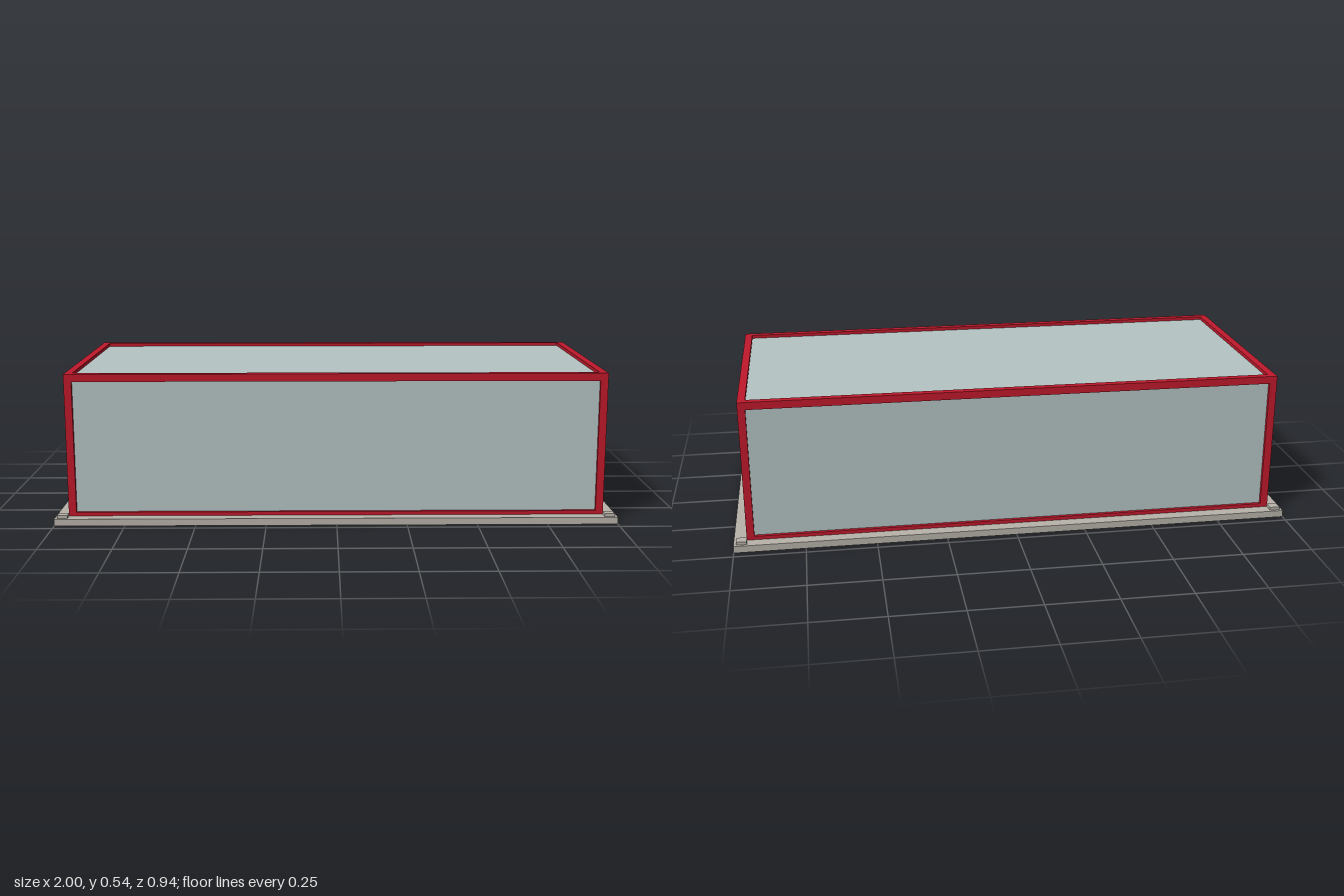
import * as THREE from 'three';

const material = (name, color) => {
  const m = new THREE.MeshStandardMaterial({ color });
  m.name = name;
  return m;
};

export function createModel() {
  const model = new THREE.Group();
  model.name = 'glassCase';
  const red = material('red frame', 0xc0192b);
  const glass = material('pale glass', 0xb5c4c4);
  const stone = material('grey base', 0xb8b3aa);

  const box = (name, mat, w, h, d, x, y, z) => {
    const mesh = new THREE.Mesh(new THREE.BoxGeometry(w, h, d), mat);
    mesh.name = name;
    mesh.position.set(x, y, z);
    model.add(mesh);
  };

  // Outer half sizes of the frame, bar thickness and heights
  const X = 0.955, Z = 0.425, T = 0.027;
  const top = 0.536, bottom = 0.011, baseTop = 0.025;
  const midY = (top + bottom) / 2, height = top - bottom;
  const cx = X - T / 2, cz = Z - T / 2;

  // Base slab
  box('base', stone, 2, baseTop, 0.94, 0, baseTop / 2, 0);

  // Posts and the small pads outside them
  for (const sx of [-1, 1]) for (const sz of [-1, 1]) {
    box('cornerPost', red, T, height, T, sx * cx, midY, sz * cz);
    box('cornerPad', stone, 0.036, 0.014, 0.036, sx * 0.972, 0.029, sz * 0.442);
  }

  // Top and bottom rails between the posts
  for (const y of [bottom + T / 2, top - T / 2]) for (const s of [-1, 1]) {
    box('longRail', red, 2 * (X - T), T, T, 0, y, s * cz);
    box('shortRail', red, T, T, 2 * (Z - T), s * cx, y, 0);
  }

  // Glazed body set back inside the frame
  const R = 0.012;
  const bodyTop = top - R;
  box('glassBody', glass, 2 * (X - R), bodyTop - 0.02, 2 * (Z - R), 0, (bodyTop + 0.02) / 2, 0);

  return model;
}
